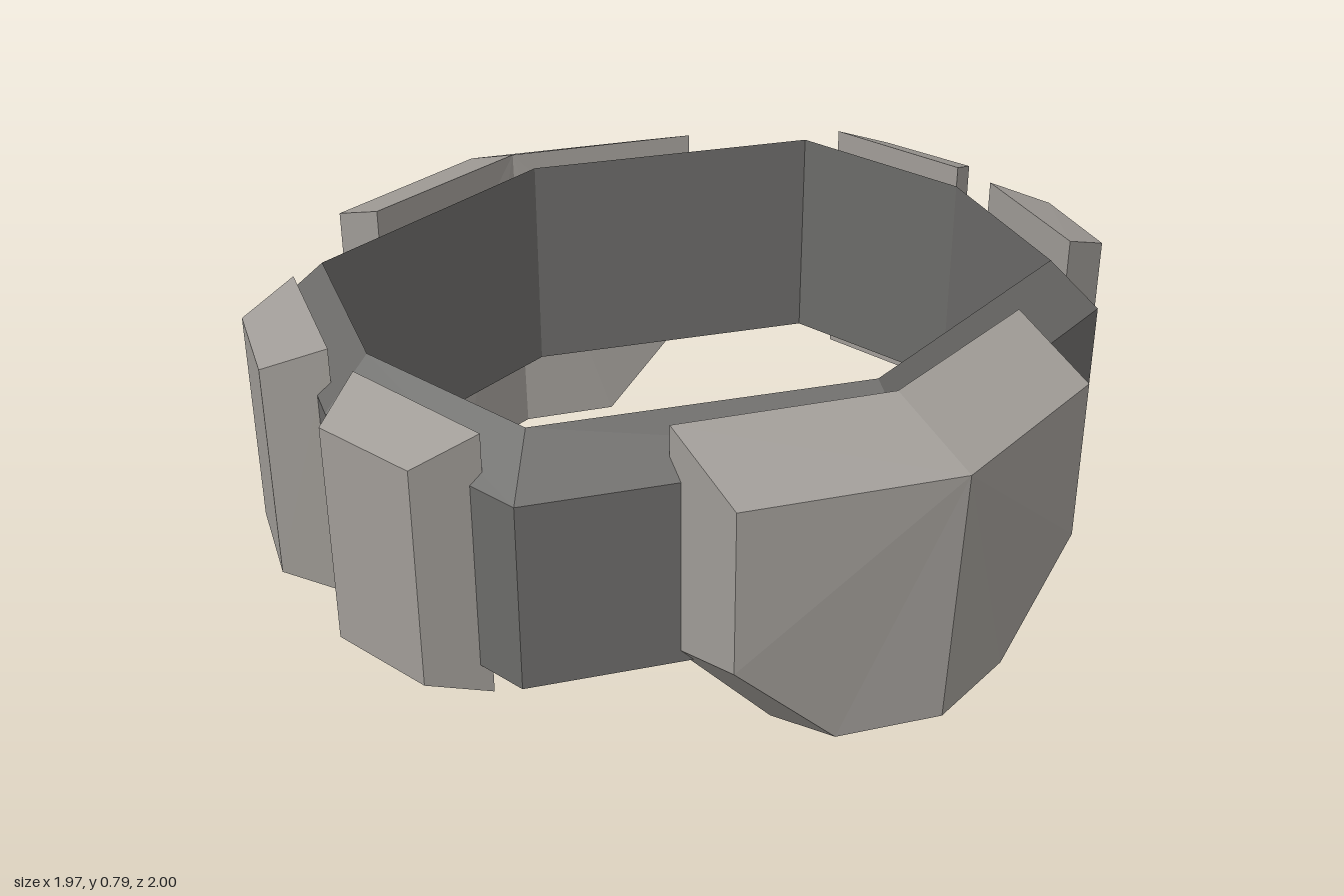
import * as THREE from 'three';

const plateMaterial = new THREE.MeshStandardMaterial({ color: 0xa09c97 });
const bandMaterial = new THREE.MeshStandardMaterial({ color: 0x6b6a68 });
plateMaterial.flatShading = bandMaterial.flatShading = true;

// Flat-shaded mesh from a list of triangle corner points
function facetMesh(name, points, material) {
  const geometry = new THREE.BufferGeometry();
  geometry.setAttribute('position', new THREE.Float32BufferAttribute(points.flat(), 3));
  geometry.computeVertexNormals();
  const mesh = new THREE.Mesh(geometry, material);
  mesh.name = name;
  return mesh;
}

// Closed solid between an outer and an inner loop, both counter-clockwise
// as seen from outside; the caps fan out from the first point
function loft(name, outer, inner) {
  const tris = [];
  const n = outer.length;
  for (let i = 0; i < n; i++) {
    const j = (i + 1) % n;
    tris.push(outer[i], inner[i], inner[j], outer[i], inner[j], outer[j]);
    if (i > 0 && j > 0) {
      tris.push(outer[0], outer[i], outer[j], inner[0], inner[j], inner[i]);
    }
  }
  return facetMesh(name, tris, plateMaterial);
}

// Eight-sided band, sweeping a four-corner profile with a sloping top
function makeBand() {
  const zMid = 0.025;
  const front = [0, 0.795, 0, 0.685];
  const corner = [0.77, 0.545, 0.69, 0.46];
  const side = [0.91, 0.006, 0.805, 0.006];
  const flip = ([a, b, c, d], sx, sz) => [a * sx, b * sz, c * sx, d * sz];
  const corners = [
    front, corner, side, flip(corner, 1, -1),
    flip(front, 1, -1), flip(corner, -1, -1), flip(side, -1, 1), flip(corner, -1, 1),
  ];
  const stations = corners.map(([ox, oz, ix, iz]) => [
    [ix, 0.77, iz + zMid], [ox, 0.66, oz + zMid],
    [ox, 0.232, oz + zMid], [ix, 0.232, iz + zMid],
  ]);
  const tris = [];
  stations.forEach((a, i) => {
    const b = stations[(i + 1) % stations.length];
    for (let p = 0; p < 4; p++) {
      const q = (p + 1) % 4;
      tris.push(a[p], a[q], b[q], a[p], b[q], b[p]);
    }
  });
  return facetMesh('band', tris, bandMaterial);
}

// Ridged shield plate with a tapered lower edge
function makePlate(name) {
  const loop = (center, side, corner, low, bottom) => {
    const m = ([x, y, z]) => [-x, y, z];
    return [center, m(side), m(corner), m(low), bottom, low, corner, side];
  };
  const outer = loop([0, 0.686, 1], [0.455, 0.686, 0.857], [0.455, 0.313, 0.857], [0.228, 0.088, 0.902], [0, 0.088, 0.972]);
  const inner = loop([0, 0.77, 0.772], [0.455, 0.77, 0.633], [0.455, 0.248, 0.632], [0.228, 0, 0.68], [0, 0, 0.75]);
  return loft(name, outer, inner);
}

// Tapered side pad, mirrored left/right and front/back
function makePad(name, sx, sz) {
  const rect = (x0, z0, x1, z1, bottom, top) => {
    const p = (x, y, z) => [x * sx, y - (sx < 0 ? 0.015 : 0), 0.028 + z * sz];
    const pts = [p(x0, bottom, z0), p(x1, bottom, z1), p(x1, top, z1), p(x0, top, z0)];
    return sx * sz < 0 ? pts.reverse() : pts;
  };
  const outer = rect(0.917, 0.398, 0.985, 0.148, 0.228, 0.734);
  const inner = rect(0.775, 0.43, 0.864, 0.06, 0.173, 0.786);
  return loft(name, outer, inner);
}

export function createModel() {
  const group = new THREE.Group();
  group.name = 'armouredBelt';
  group.add(makeBand());

  // Front and back plates
  const back = makePlate('backPlate');
  back.rotation.y = Math.PI;
  group.add(makePlate('frontPlate'), back);

  // Four side pads
  for (const [side, sx] of [['left', 1], ['right', -1]]) {
    for (const [end, sz] of [['Front', 1], ['Back', -1]]) {
      group.add(makePad(`${side}${end}Pad`, sx, sz));
    }
  }
  return group;
}
